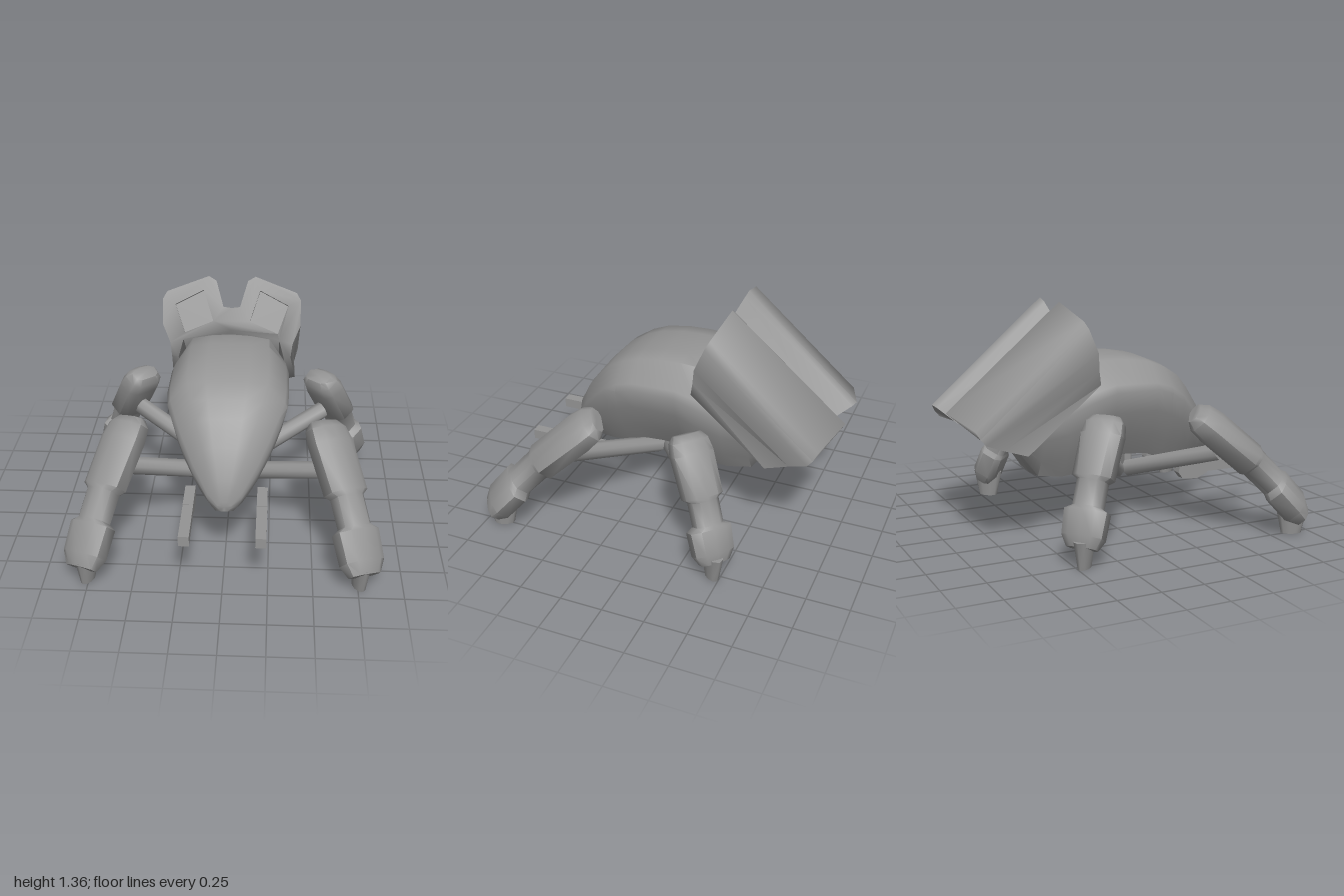
import * as THREE from 'three';
import { toCreasedNormals } from 'three/addons/utils/BufferGeometryUtils.js';

const V = (x, y, z) => new THREE.Vector3(x, y, z);
const mat = new THREE.MeshStandardMaterial({ color: 0x949494, side: THREE.DoubleSide });

// Turns a list of triangle corners into an outward-facing, creased geometry.
function solid(corners, crease) {
  let volume = 0;
  for (let i = 0; i < corners.length; i += 3) {
    volume += corners[i].dot(V(0, 0, 0).crossVectors(corners[i + 1], corners[i + 2]));
  }
  if (volume < 0) corners.reverse();
  return toCreasedNormals(new THREE.BufferGeometry().setFromPoints(corners), crease);
}

// Joins two equal closed loops with a band of quads.
function band(a, b) {
  const out = [];
  a.forEach((p, i) => {
    const j = (i + 1) % a.length;
    out.push(p, a[j], b[j], p, b[j], b[i]);
  });
  return out;
}

// Skins closed loops in order and caps both ends with a fan.
function loft(loops, crease) {
  const out = [];
  for (let k = 0; k < loops.length - 1; k++) out.push(...band(loops[k], loops[k + 1]));
  const cap = (loop, flip) => {
    const c = loop.reduce((s, p) => s.add(p), V(0, 0, 0)).divideScalar(loop.length);
    loop.forEach((p, i) => {
      const q = loop[(i + 1) % loop.length];
      out.push(...(flip ? [c, q, p] : [c, p, q]));
    });
  };
  cap(loops[0], true);
  cap(loops[loops.length - 1], false);
  return solid(out, crease);
}

function add(parent, name, geo) {
  const m = new THREE.Mesh(geo, mat);
  m.name = name;
  parent.add(m);
  return m;
}

function box(parent, name, size, pos) {
  add(parent, name, new THREE.BoxGeometry(...size)).position.set(...pos);
}

// Hull sections: z, top, bottom, half width, height of widest point
function hull() {
  const rows = [
    [0.725, 0.42, 0.36, 0.04, 0.39], [0.69, 0.53, 0.34, 0.1, 0.43], [0.6, 0.69, 0.335, 0.19, 0.55],
    [0.5, 0.82, 0.335, 0.26, 0.66], [0.42, 0.905, 0.345, 0.305, 0.74], [0.32, 0.965, 0.37, 0.345, 0.81],
    [0.22, 1.005, 0.41, 0.352, 0.84], [0.08, 1.03, 0.42, 0.352, 0.84], [-0.05, 1.035, 0.41, 0.352, 0.84],
    [-0.18, 1.03, 0.34, 0.35, 0.8], [-0.32, 0.98, 0.325, 0.325, 0.74], [-0.46, 0.85, 0.34, 0.27, 0.68],
    [-0.6, 0.68, 0.54, 0.17, 0.6],
  ];
  const loops = rows.map(([z, top, bot, w, mid]) => {
    const up = top - mid, down = mid - bot;
    const half = [
      [0.35, top - 0.02 * up], [0.66, top - 0.1 * up], [0.95, mid + 0.22 * up], [1, mid],
      [0.91, mid - 0.3 * down], [0.71, mid - 0.68 * down], [0.51, bot + 0.03 * down],
    ];
    const right = half.map(([k, y]) => V(k * w, y, z));
    const left = half.map(([k, y]) => V(-k * w, y, z)).reverse();
    return [V(0, top, z), ...right, V(0, bot, z), ...left];
  });
  return loft(loops, 0.85);
}

// Twin-lobed pod: front (x, z, y), rear (x, z, y), with a pocket in each lobe's front
function pod() {
  const half = [
    [0.05, -0.24, 1.19, 0.06, -0.87, 0.66], [0.095, -0.31, 1.33, 0.1, -0.98, 0.755],
    [0.14, -0.32, 1.355, 0.13, -1, 0.77], [0.39, -0.28, 1.27, 0.39, -0.92, 0.71],
    [0.415, -0.26, 1.23, 0.415, -0.9, 0.67], [0.415, -0.2, 1.09, 0.42, -0.87, 0.635],
    [0.37, -0.175, 0.98, 0.395, -0.76, 0.59], [0.36, -0.16, 0.9, 0.4, -0.62, 0.545],
    [0.32, -0.16, 0.89, 0.33, -0.58, 0.545], [0.29, -0.18, 1.0, 0.29, -0.68, 0.59],
  ];
  const flip = half.map(([x, z, y, u, w, v]) => [-x, z, y, -u, w, v]).reverse();
  const rows = [[0, -0.235, 1.185, 0, -0.84, 0.67], ...half, [0, -0.19, 1.06, 0, -0.72, 0.58], ...flip];
  const front = rows.map(r => V(r[0], r[2], r[1]));
  const rear = rows.map(r => V(r[3], r[5], r[4]));
  const faceZ = y => (y > 1.05 ? -0.18 - (y - 1.05) * 0.45 : -0.16 - (y - 0.9) * 0.13);
  const pockets = [1, -1].map(s =>
    [[0.11, 1.11], [0.17, 1.28], [0.34, 1.2], [0.28, 1.045]].map(([x, y]) => V(s * x, y, faceZ(y))));
  const flat = loop => loop.map(p => new THREE.Vector2(p.x, p.y));
  // Orders a triangle so that it faces the given direction
  const facing = (a, b, c, dir) => {
    const n = V(0, 0, 0).crossVectors(b.clone().sub(a), c.clone().sub(a));
    return n.dot(dir) > 0 ? [a, b, c] : [a, c, b];
  };
  const ahead = V(0, 0, 1);
  const out = band(front, rear);
  const probe = V(0, 0, 0).crossVectors(out[1].clone().sub(out[0]), out[2].clone().sub(out[0]));
  if (probe.y < 0) out.reverse();
  // Front cap with pocket openings
  const all = [...front, ...pockets.flat()];
  for (const [i, j, k] of THREE.ShapeUtils.triangulateShape(flat(front), pockets.map(flat))) {
    out.push(...facing(all[i], all[j], all[k], ahead));
  }
  // Rear cap, flattened along the pod's axis
  const across = rear.map(p => new THREE.Vector2(p.x, 0.755 * p.y - 0.655 * p.z));
  for (const [i, j, k] of THREE.ShapeUtils.triangulateShape(across, [])) {
    out.push(...facing(rear[i], rear[j], rear[k], V(0, -0.655, -0.755)));
  }
  // Shallow pocket walls and floors
  for (const p of pockets) {
    const deep = p.map(q => q.clone().add(V(0, -0.012, -0.02)));
    out.push(...band(p, deep));
    out.push(...facing(deep[0], deep[1], deep[2], ahead), ...facing(deep[0], deep[2], deep[3], ahead));
  }
  return solid(out, 1.25);
}

// Armoured leg from knee to ankle, rolled about its axis: t, half width, half thickness
function leg(p0, p1, scale, roll) {
  const rows = [
    [0, 0.09, 0.045], [0.05, 0.12, 0.075], [0.15, 0.132, 0.085], [0.48, 0.125, 0.085], [0.51, 0.09, 0.078],
    [0.7, 0.09, 0.075], [0.73, 0.138, 0.08], [0.92, 0.13, 0.08], [1, 0.095, 0.05],
  ];
  const axis = p1.clone().sub(p0).normalize();
  const side = V(0, 0, 0).crossVectors(axis, V(0, 1, 0)).normalize().applyAxisAngle(axis, roll);
  const outer = V(0, 0, 0).crossVectors(side, axis);
  const ring = [[1, 0.45], [0.6, 0.9], [0, 1], [-0.6, 0.9], [-1, 0.45], [-0.95, -0.6], [-0.6, -1], [0.6, -1], [0.95, -0.6]];
  return loft(rows.map(([t, w, h]) => {
    const c = p0.clone().lerp(p1, t).addScaledVector(outer, 0.03 * Math.sin(Math.PI * t));
    return ring.map(([a, b]) => c.clone().addScaledVector(side, a * w * scale).addScaledVector(outer, b * h));
  }), 0.95);
}

// Bevelled bar between two points
function bar(parent, name, a, b, r) {
  const m = add(parent, name, toCreasedNormals(new THREE.CylinderGeometry(r, r, a.distanceTo(b), 8), 0.9));
  m.position.copy(a).lerp(b, 0.5);
  m.quaternion.setFromUnitVectors(V(0, 1, 0), b.clone().sub(a).normalize());
}

// Gun housing: side profile in z and y, extruded across x
function gunBody() {
  const outline = [[0.63, 0.34], [0.62, 0.27], [0.55, 0.24], [0.45, 0.25], [0.42, 0.29], [0.43, 0.34]];
  const shape = new THREE.Shape(outline.map(([z, y]) => new THREE.Vector2(z, y)));
  const geo = new THREE.ExtrudeGeometry(shape, { depth: 0.06, bevelEnabled: false });
  return geo.translate(0, 0, -0.03).rotateY(-Math.PI / 2);
}

export function createModel() {
  const g = new THREE.Group();
  g.name = 'walker';
  add(g, 'hull', hull());
  add(g, 'rearPod', pod());
  for (const z of [0.08, 0.18]) box(g, 'hipPost', [0.05, 0.16, 0.04], [0, 0.37, z]);

  for (const s of [1, -1]) {
    const word = s > 0 ? 'left' : 'right';
    // Leg: knee, ankle, strut start and end, foot position, width scale, roll
    const legs = [
      ['Front', V(s * 0.55, 0.73, 0.34), V(s * 0.78, 0.11, 0.945), V(s * 0.03, 0.3, 0.18), V(s * 0.6, 0.5, 0.48), V(s * 0.755, 0.08, 0.89), 1, -s * 0.3],
      ['Rear', V(s * 0.535, 0.755, -0.205), V(s * 0.77, 0.11, -0.47), V(s * 0.03, 0.3, 0.1), V(s * 0.57, 0.51, -0.23), V(s * 0.76, 0.08, -0.45), 0.9, 0],
    ];
    for (const [end, knee, ankle, hip, joint, foot, scale, roll] of legs) {
      const limb = new THREE.Group();
      limb.name = word + end + 'Leg';
      add(limb, 'legArmour', leg(knee, ankle, scale, roll));
      bar(limb, 'strut', hip, joint, 0.052);
      // Thin foot blade in line with the leg
      const f = add(limb, 'foot', toCreasedNormals(new THREE.CylinderGeometry(0.095, 0.06, 0.16, 10), 0.9));
      f.position.copy(foot);
      f.rotation.y = Math.atan2(ankle.x - knee.x, ankle.z - knee.z);
      f.scale.x = 0.55;
      g.add(limb);
    }
    // Gun under the nose
    add(g, word + 'GunBody', gunBody()).position.x = s * 0.21;
    box(g, word + 'GunBarrel', [0.06, 0.06, 0.36], [s * 0.21, 0.307, 0.77]);
  }
  return g;
}
